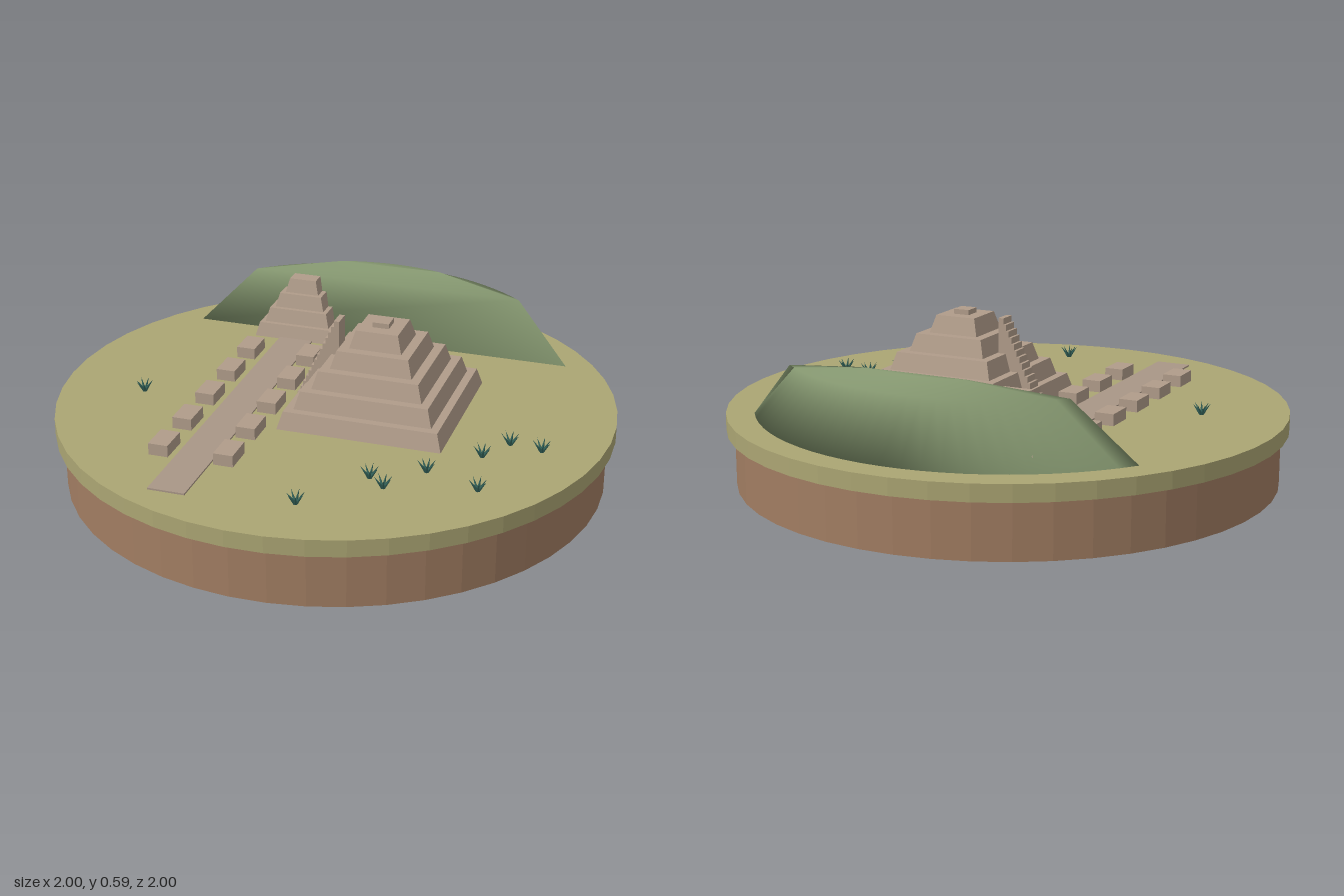
import * as THREE from 'three';

const GROUND = 0.26;
const TURN = -0.349; // the whole site is turned by 20 degrees

const mat = (name, color) => {
  const m = new THREE.MeshStandardMaterial({ color });
  m.name = name;
  return m;
};

// Separate every face so that it gets its own flat normal
function faceted(geometry) {
  const g = geometry.toNonIndexed();
  g.computeVertexNormals();
  return g;
}

function add(parent, name, geometry, material, x = 0, y = 0, z = 0) {
  const mesh = new THREE.Mesh(geometry, material);
  mesh.name = name;
  mesh.position.set(x, y, z);
  parent.add(mesh);
  return mesh;
}

// Square block with sloping sides, standing on y = 0
function taperedBlock(bottomHalf, topHalf, height) {
  const g = new THREE.CylinderGeometry(topHalf * Math.SQRT2, bottomHalf * Math.SQRT2, height, 4);
  g.rotateY(Math.PI / 4);
  g.translate(0, height / 2, 0);
  return faceted(g);
}

function steppedPyramid(name, halves, tierHeight, taper, material) {
  const group = new THREE.Group();
  group.name = name;
  halves.forEach((h, i) =>
    add(group, 'tier', taperedBlock(h, h - taper, tierHeight), material, 0, i * tierHeight, 0));
  return group;
}

// Smooth hill: circle segments stacked in rings that shrink towards the top
function hillGeometry() {
  const rings = [ // radius, half angle, height
    [0.9, 0.942, 0],
    [0.8, 0.713, 0.21],
    [0.71, 0.28, 0.253],
  ];
  const n = 25;
  const positions = [];
  const index = [];
  for (const [r, half, y] of rings) {
    for (let i = 0; i < n; i++) {
      const a = -half + (2 * half * i) / (n - 1);
      positions.push(r * Math.sin(a), y, -r * Math.cos(a));
    }
  }
  for (let k = 0; k < rings.length - 1; k++) {
    for (let i = 0; i < n; i++) {
      const a = k * n + i;
      const b = k * n + ((i + 1) % n);
      index.push(a, a + n, b, b, a + n, b + n);
    }
  }
  const top = (rings.length - 1) * n;
  for (let i = 1; i < n - 1; i++) {
    index.push(0, i, i + 1);
    index.push(top, top + i + 1, top + i);
  }
  const g = new THREE.BufferGeometry();
  g.setAttribute('position', new THREE.Float32BufferAttribute(positions, 3));
  g.setIndex(index);
  g.computeVertexNormals();
  return g;
}

export function createModel() {
  const grass = mat('dry grass', 0xaba573);
  const earth = mat('earth', 0xa17d62);
  const stone = mat('stone', 0xb09c8a);
  const paving = mat('paving', 0xa99686);
  const hillGreen = mat('hill green', 0x84966f);
  const leaf = mat('agave green', 0x35655c);

  const model = new THREE.Group();
  model.name = 'pyramidSite';

  // Round base
  add(model, 'earthBase', faceted(new THREE.CylinderGeometry(0.97, 0.97, 0.2, 48)), earth, 0, 0.1, 0);
  add(model, 'grassDisc', faceted(new THREE.CylinderGeometry(1, 1, 0.06, 48)), grass, 0, 0.23, 0);

  const site = new THREE.Group();
  site.name = 'site';
  site.position.y = GROUND;
  site.rotation.y = TURN;
  model.add(site);

  // Hill behind
  add(site, 'hill', hillGeometry(), hillGreen);

  // Large pyramid with an altar on top
  const large = steppedPyramid('largePyramid', [0.294, 0.247, 0.198, 0.147, 0.094], 0.0624, 0.018, stone);
  large.position.x = 0.172;
  add(large, 'altar', new THREE.BoxGeometry(0.06, 0.018, 0.06), stone, 0, 0.321, 0);
  site.add(large);

  // Stairway facing the avenue
  const steps = 14;
  const run = 0.0105;
  for (let i = 0; i < steps; i++) {
    const h = (0.314 * (i + 1)) / steps;
    const depth = i === steps - 1 ? 0.02 : run;
    add(large, 'stairStep', new THREE.BoxGeometry(depth, h, 0.064), stone,
      -0.308 + i * run + depth / 2, h / 2, -0.004);
  }

  // Small pyramid at the end of the avenue
  const small = steppedPyramid('smallPyramid', [0.159, 0.128, 0.097, 0.066], 0.0525, 0.014, stone);
  small.position.set(-0.314, 0, -0.6);
  site.add(small);

  // Avenue lined with low platforms
  add(site, 'avenue', new THREE.BoxGeometry(0.13, 0.006, 1.29), paving, -0.308, 0.003, 0.185);
  for (const side of [-1, 1]) {
    for (let i = 0; i < 5; i++) {
      add(site, 'platform', new THREE.BoxGeometry(0.07, 0.042, 0.11), stone,
        -0.315 + side * 0.117, 0.021, -0.283 + i * 0.208);
    }
  }

  // Agave plants: blades leaning outwards
  const blade = new THREE.ConeGeometry(0.007, 0.052, 4);
  blade.translate(0, 0.026, 0);
  blade.rotateX(0.65);
  const spots = [
    [-0.69, -0.09], [0.58, 0.38], [0.68, 0.435], [0.475, 0.465], [0.28, 0.565],
    [0.09, 0.6], [0.13, 0.67], [0.435, 0.7], [-0.155, 0.765],
  ];
  for (const [x, z] of spots) {
    const plant = new THREE.Group();
    plant.name = 'agave';
    plant.position.set(x, GROUND, z);
    for (let i = 0; i < 7; i++) {
      add(plant, 'agaveBlade', blade, leaf).rotation.y = (i * Math.PI * 2) / 7;
    }
    model.add(plant);
  }

  return model;
}
